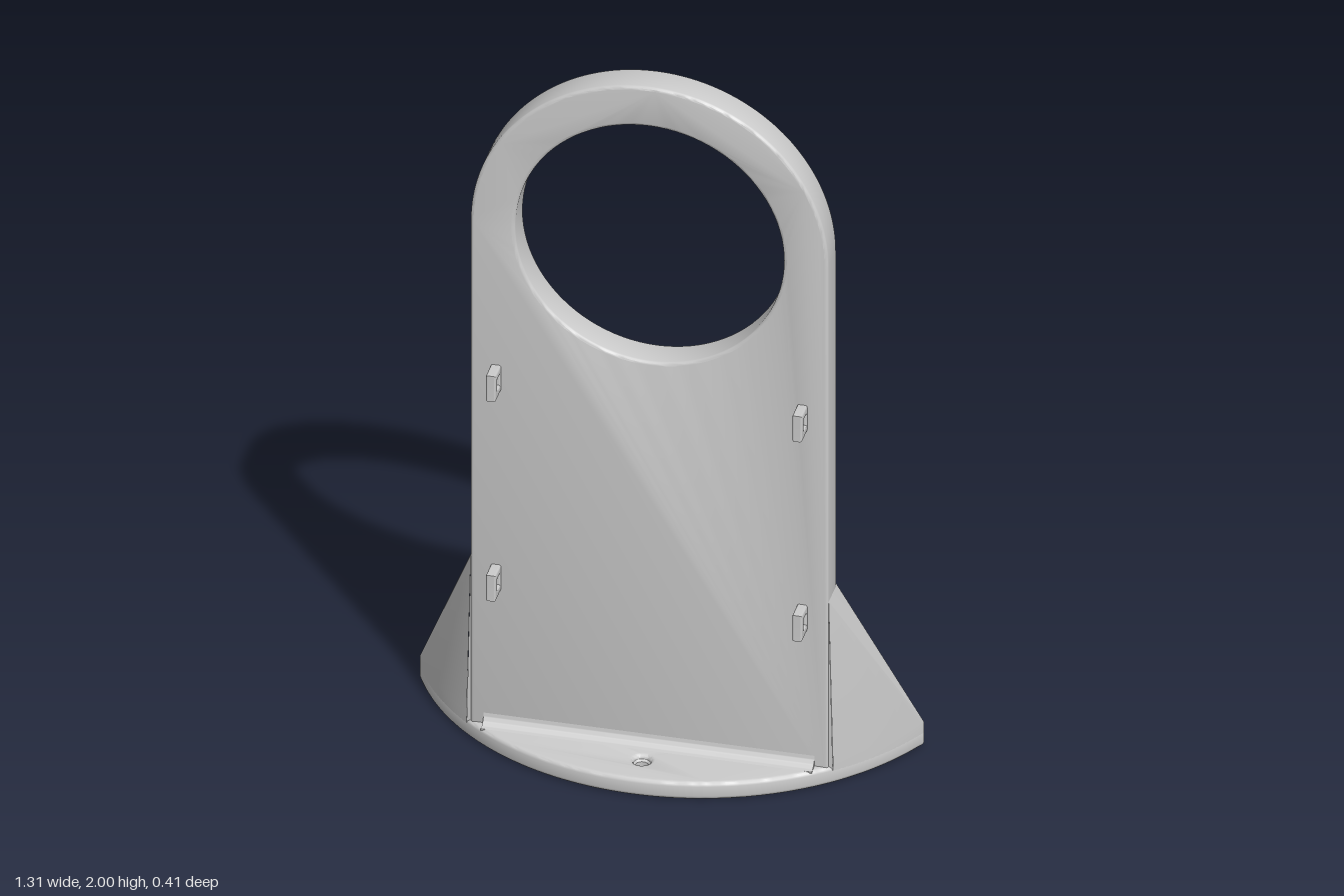
import * as THREE from 'three';
import { toCreasedNormals } from 'three/addons/utils/BufferGeometryUtils.js';

const R = 0.728, CZ = -0.523;        // base arc radius and centre
const BACK = -0.205, FRONT = 0.035, REAR = -0.055;
const BASE_H = 0.05;
const material = new THREE.MeshStandardMaterial({ color: 0xcccccc });

function add(group, name, geometry) {
  const mesh = new THREE.Mesh(toCreasedNormals(geometry, 0.6), material);
  mesh.name = name;
  group.add(mesh);
  return mesh;
}

// Extrusion of total depth d with rounded edges kept inside the outline
function extrude(shape, d, bevel, curveSegments = 48) {
  return new THREE.ExtrudeGeometry(shape, {
    depth: d - 2 * bevel, bevelEnabled: bevel > 0, bevelThickness: bevel,
    bevelSize: bevel, bevelOffset: -bevel, bevelSegments: 3, curveSegments,
  }).translate(0, 0, bevel);
}

function circleHole(x, y, r) {
  return new THREE.Path().absarc(x, y, r, 0, Math.PI * 2, true);
}

// Corner gusset: ruled surface from the base arc up to the plate edge
function gussetGeometry(s) {
  const pos = [], lo = 0.038, hi = 0.07, n = 20, zEnd = 0.028;
  const tri = (a, b, c) => {
    for (const p of s > 0 ? [a, b, c] : [a, c, b]) pos.push(s * p[0], p[1], p[2]);
  };
  const a0 = Math.acos((BACK - CZ) / R), a1 = Math.acos((zEnd - CZ) / R);
  const arc = (i, y) => {
    const a = a0 + (a1 - a0) * i / n;
    return [R * Math.sin(a), y, CZ + R * Math.cos(a)];
  };
  const tipFront = [0.465, 0.54, zEnd], tipBack = [0.46, 0.55, REAR];
  const inner = [0.395, lo, BACK], foot = [0.395, lo, REAR];
  for (let i = 0; i < n; i++) {
    tri(arc(i, lo), arc(i, hi), arc(i + 1, lo));
    tri(arc(i + 1, lo), arc(i, hi), arc(i + 1, hi));
    tri(arc(i, hi), tipFront, arc(i + 1, hi));
  }
  tri(arc(0, hi), tipBack, tipFront);
  tri(arc(0, lo), inner, arc(0, hi));
  tri(arc(0, hi), inner, tipBack);
  tri(inner, foot, tipBack);
  tri(arc(n, lo), tipFront, [0.4, lo, zEnd]);
  const g = new THREE.BufferGeometry();
  g.setAttribute('position', new THREE.Float32BufferAttribute(pos, 3));
  return g;
}

// Concave fillet strip running along x
function filletGeometry(length, r) {
  const s = new THREE.Shape();
  s.moveTo(-0.005, -0.005);
  s.lineTo(r, -0.005);
  s.lineTo(r, 0);
  s.absarc(r, r, r, -Math.PI / 2, -Math.PI, true);
  s.lineTo(-0.005, r);
  return extrude(s, length, 0, 8).translate(0, 0, -length / 2);
}

export function createModel() {
  const group = new THREE.Group();

  // Base: circular segment with three countersunk holes
  const base = new THREE.Shape();
  const half = Math.asin(0.655 / R);
  base.absarc(0, -CZ, R, -Math.PI / 2 - half, -Math.PI / 2 + half, false);
  base.closePath();
  const screws = [[-0.32, -0.135], [0.32, -0.135], [0, 0.11]];
  for (const [x, z] of screws) base.holes.push(circleHole(x, -z, 0.022));
  add(group, 'base', extrude(base, BASE_H, 0.011).rotateX(-Math.PI / 2));

  // Narrow lower part of each screw hole
  const seat = [[0.034, 0], [0.017, 0], [0.017, 0.033], [0.0225, 0.039]]
    .map(([x, y]) => new THREE.Vector2(x, y));
  for (const [x, z] of screws) {
    const m = add(group, 'screwHole', new THREE.LatheGeometry(seat.slice().reverse(), 32));
    m.material = material.clone();
    m.material.side = THREE.DoubleSide;
    m.position.set(x, 0, z);
  }

  // Upright plate with round head and ring opening
  const W = 0.465, headY = 1.535;
  const plate = new THREE.Shape();
  plate.moveTo(-W, 0.015);
  plate.lineTo(W, 0.015);
  plate.lineTo(W, headY);
  plate.absarc(0, headY, W, 0, Math.PI, false);
  plate.closePath();
  plate.holes.push(circleHole(0, headY, 0.349));
  add(group, 'uprightPlate', extrude(plate, FRONT - REAR, 0.009).translate(0, 0, REAR));

  // Fillets where the plate meets the base
  add(group, 'frontFillet', filletGeometry(0.86, 0.03).rotateY(-Math.PI / 2))
    .position.set(0, BASE_H, FRONT);
  add(group, 'backFillet', filletGeometry(0.8, 0.03).rotateY(Math.PI / 2))
    .position.set(0, BASE_H, REAR);

  // Cable loop outline, seen from the side
  const loop = new THREE.Shape();
  loop.moveTo(-0.01, -0.038);
  loop.lineTo(0.056, -0.038);
  loop.lineTo(0.056, 0.038);
  loop.lineTo(-0.01, 0.038);
  loop.closePath();
  const eye = new THREE.Path();
  eye.moveTo(0.008, -0.016);
  eye.lineTo(0.008, 0.016);
  eye.lineTo(0.036, 0.016);
  eye.lineTo(0.036, -0.016);
  eye.closePath();
  loop.holes.push(eye);

  for (const s of [1, -1]) {
    const side = s > 0 ? 'left' : 'right';
    add(group, side + 'Gusset', gussetGeometry(s));
    for (const y of [0.487, 1.08]) {
      const g = extrude(loop, 0.026, 0.005).translate(0, 0, -0.013).rotateY(-Math.PI / 2);
      add(group, side + 'CableLoop', g).position.set(s * 0.398, y, FRONT);
    }
  }
  return group;
}
